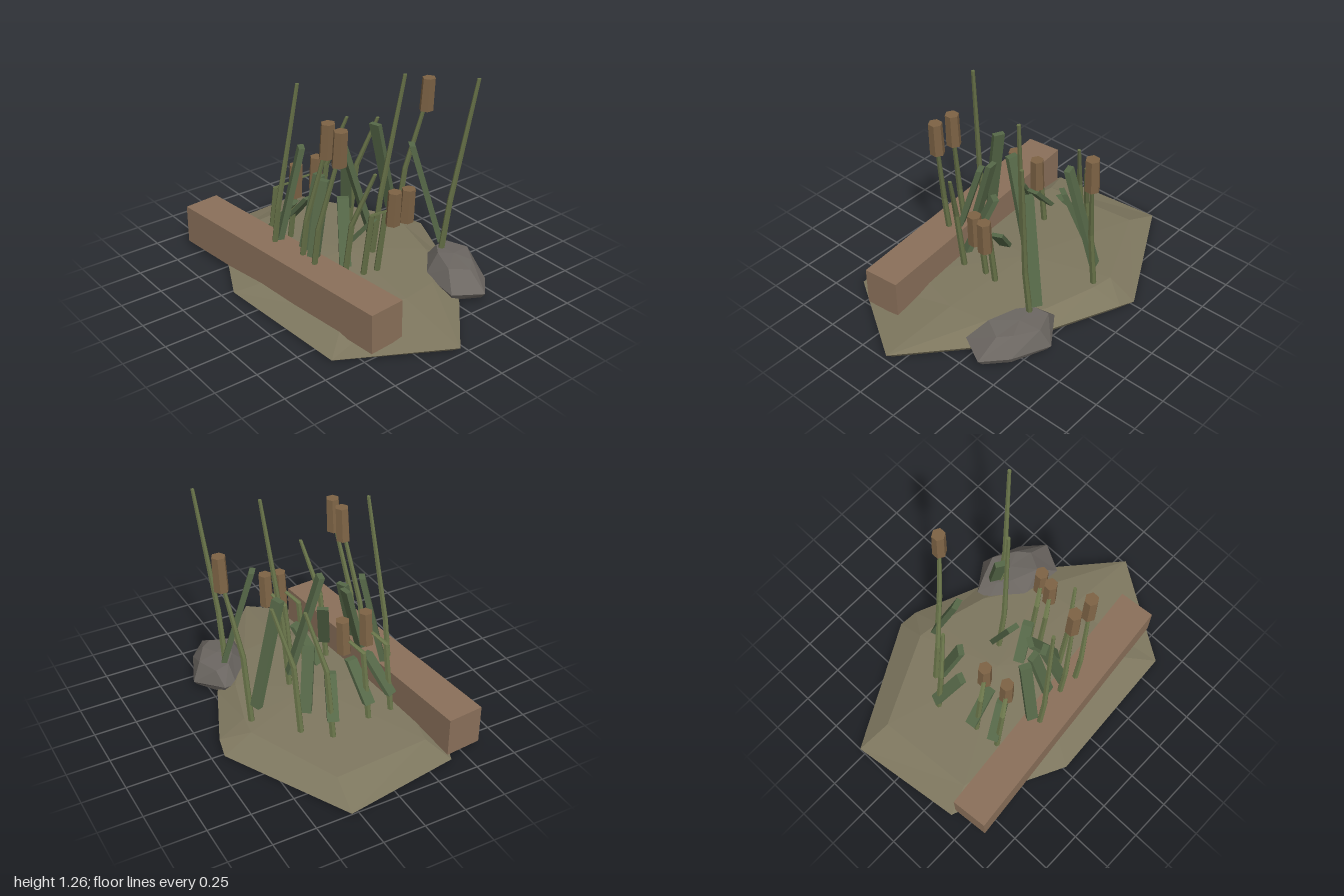
import * as THREE from 'three';

const paint = (color) => new THREE.MeshStandardMaterial({ color, flatShading: true, roughness: 1 });

// Skin a stack of rings (each counter-clockwise seen from above, bottom first) and cap both ends.
function loft(rings, capLift = 0) {
  const pos = [];
  const tri = (a, b, c) => pos.push(...a, ...b, ...c);
  const n = rings[0].length;
  for (let r = 0; r < rings.length - 1; r++) {
    for (let i = 0; i < n; i++) {
      const j = (i + 1) % n, lo = rings[r], hi = rings[r + 1];
      tri(lo[i], lo[j], hi[j]);
      tri(lo[i], hi[j], hi[i]);
    }
  }
  const middle = (ring) => [0, 1, 2].map((k) => ring.reduce((s, p) => s + p[k], 0) / n);
  const bottom = rings[0], top = rings[rings.length - 1];
  const cb = middle(bottom), ct = middle(top);
  ct[1] += capLift;
  for (let i = 0; i < n; i++) {
    const j = (i + 1) % n;
    tri(cb, bottom[j], bottom[i]);
    tri(ct, top[i], top[j]);
  }
  const g = new THREE.BufferGeometry();
  g.setAttribute('position', new THREE.Float32BufferAttribute(pos, 3));
  g.computeVertexNormals();
  return g;
}

// Horizontal hexagon round a point
const hexagon = ([x, y, z], r) => Array.from({ length: 6 }, (_, i) => {
  const a = (i * Math.PI) / 3 + Math.PI / 6;
  return [x + r * Math.cos(a), y, z - r * Math.sin(a)];
});

export function createModel() {
  const model = new THREE.Group();
  model.name = 'reedBed';
  const mud = paint(0x7e775f), bark = paint(0x8a705a), stone = paint(0x6b6661);
  const stemGreen = paint(0x687349), leafGreen = paint(0x566848), headBrown = paint(0x7d6345);

  const add = (parent, name, geometry, material) => {
    const mesh = new THREE.Mesh(geometry, material);
    mesh.name = name;
    parent.add(mesh);
    return mesh;
  };
  const group = (name) => {
    const g = new THREE.Group();
    g.name = name;
    model.add(g);
    return g;
  };

  // Ground mound: flat underside, thin rim, raised plateau
  const rim = [
    [-1, 0.005, -0.29], [-0.91, 0.03, 0.39], [-0.46, 0.035, 0.57], [-0.23, 0.004, 0.68], [0.64, 0.006, 0.63],
    [1, 0.04, 0.06], [0.66, 0.04, -0.24], [0.24, 0.04, -0.49], [-0.16, 0.035, -0.66], [-0.27, 0.005, -0.68],
  ];
  const plateau = [
    [-0.79, 0.08, -0.26], [-0.74, 0.07, 0.33], [-0.35, 0.08, 0.41], [-0.1, 0.085, 0.45], [0.42, 0.08, 0.38],
    [0.52, 0.09, 0.03], [0.48, 0.09, -0.2], [0.18, 0.1, -0.4], [-0.13, 0.1, -0.49], [-0.26, 0.1, -0.51],
  ];
  const underside = rim.map(([x, y, z]) => [x * (1 - y * 1.2), 0, z * (1 - y * 1.2)]);
  add(model, 'ground', loft([underside, rim, plateau], 0.03), mud);

  // Squared log lying along the front
  const log = add(model, 'log', new THREE.BoxGeometry(1.616, 0.235, 0.22), bark);
  log.position.set(-0.059, 0.153, 0.4225);
  log.rotation.y = 0.093;

  // Faceted boulder at the back
  const belt = [
    [0.19, 0.09, -0.46], [0.21, 0.08, -0.38], [0.38, 0.08, -0.23], [0.64, 0.08, -0.2],
    [0.73, 0.07, -0.37], [0.6, 0.07, -0.49], [0.37, 0.06, -0.585],
  ];
  const crown = [
    [0.27, 0.17, -0.48], [0.29, 0.18, -0.39], [0.37, 0.185, -0.33], [0.53, 0.175, -0.27],
    [0.59, 0.16, -0.38], [0.53, 0.17, -0.45], [0.4, 0.17, -0.53],
  ];
  const foot = belt.map(([x, , z]) => [0.46 + (x - 0.46) * 0.87, 0.03, -0.4 + (z + 0.4) * 0.87]);
  add(model, 'boulder', loft([foot, belt, crown], 0.01), stone);

  // Bent reed stems, given by their tips: upright foot, then leaning
  const stem = (parent, [x, y, z]) => add(parent, 'stem', loft([
    hexagon([x - 0.175, 0.08, z + 0.08], 0.019),
    hexagon([x - 0.112, 0.5, z + 0.07], 0.017),
    hexagon([x, y, z], 0.011),
  ]), stemGreen);

  const reeds = group('reeds');
  [
    [0.49, 1.26, -0.47], [0.2, 1.26, -0.2], [-0.04, 1.26, 0.34],
    [-0.205, 0.83, -0.34], [-0.32, 0.83, -0.2], [0.375, 0.83, 0.14],
  ].forEach((tip) => stem(reeds, tip));

  // Cattails: a reed with a six-sided seed head
  const cattails = group('cattails');
  [
    [0.01, 1.1, -0.54], [0.178, 1.1, 0.3], [0.3, 1.1, 0.308],
    [-0.265, 0.67, 0.06], [-0.25, 0.67, 0.215], [0.37, 0.67, -0.1], [0.355, 0.67, -0.015],
  ].forEach(([x, y, z]) => {
    stem(cattails, [x, y - 0.1, z]);
    add(cattails, 'seedHead', loft([
      hexagon([x - 0.012, y - 0.203, z + 0.004], 0.043),
      hexagon([x, y, z], 0.04),
    ]), headBrown);
  });

  // Slanted blade leaves: [base x, base z, tip x, tip z, tip height]
  const leaves = group('leaves');
  const blade = (x, y, z, ux, uz) => [[-1, -1], [1, -1], [1, 1], [-1, 1]].map(([a, b]) => [
    x + ux * a * 0.017 + uz * b * 0.033, y, z + uz * a * 0.017 - ux * b * 0.033,
  ]);
  [
    [-0.19, -0.44, -0.14, -0.27, 0.83], [0.295, -0.41, 0.2, -0.26, 0.83], [0.01, -0.13, -0.03, 0.05, 0.83],
    [0.015, 0.06, 0.165, -0.01, 0.41], [0.19, 0.2, 0.05, 0.11, 0.55], [-0.36, -0.22, -0.255, -0.145, 0.55],
    [-0.5, -0.125, -0.345, -0.06, 0.41], [-0.46, 0.125, -0.285, 0.105, 0.41], [-0.44, 0.28, -0.285, 0.21, 0.41],
    [-0.21, 0.38, -0.145, 0.25, 0.83], [-0.02, 0.34, -0.035, 0.21, 0.69], [0.095, 0.36, 0.035, 0.23, 0.69],
  ].forEach(([bx, bz, tx, tz, h]) => {
    const len = Math.hypot(tx - bx, tz - bz);
    const ux = (tx - bx) / len, uz = (tz - bz) / len;
    add(leaves, 'leaf', loft([blade(bx, 0.21, bz, ux, uz), blade(tx, h, tz, ux, uz)]), leafGreen);
  });

  return model;
}
